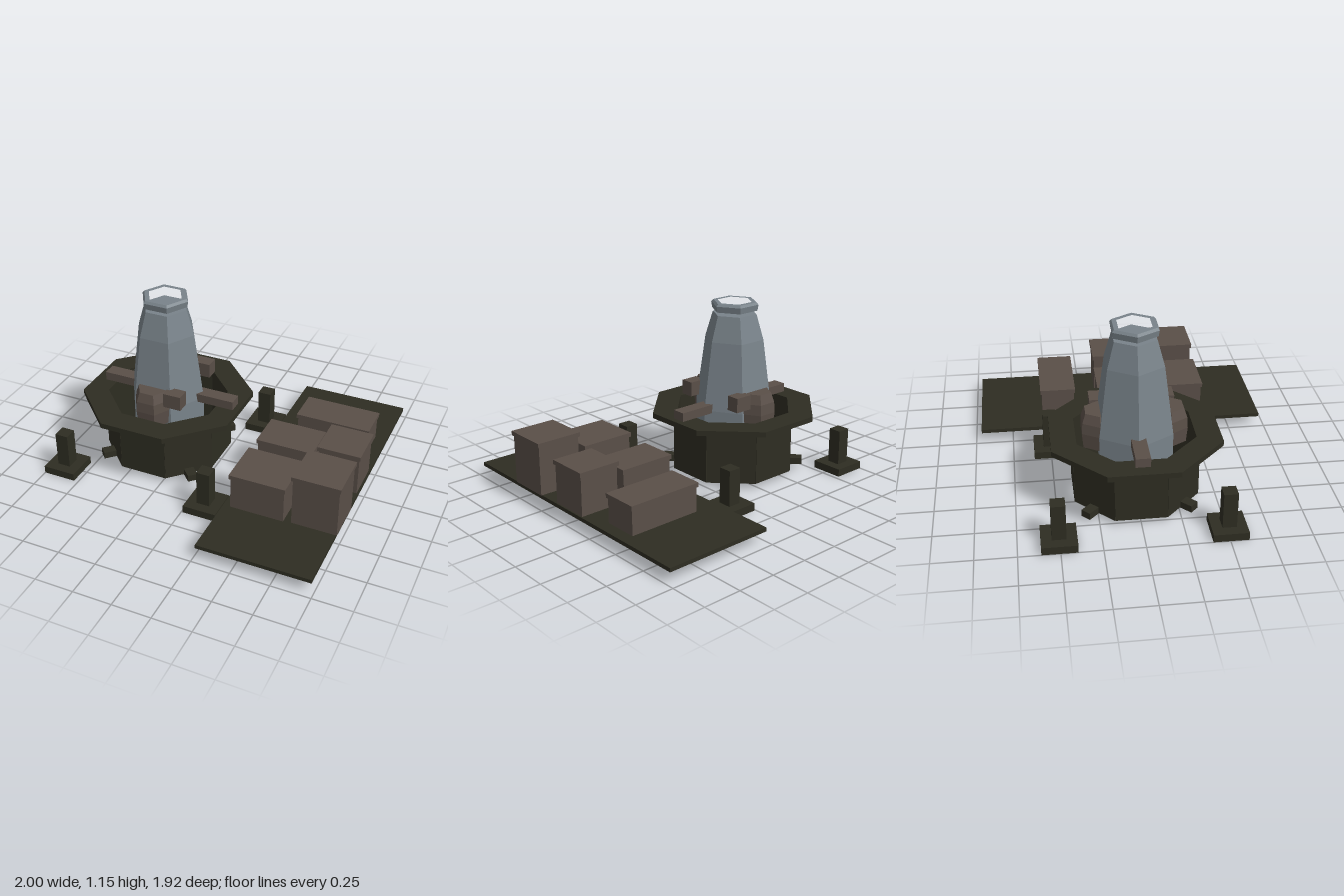
import * as THREE from 'three';

export function createModel() {
  const model = new THREE.Group();
  const CX = -0.385; // centre line of the tower and its drum

  const olive = new THREE.MeshStandardMaterial({ color: 0x2e2d22 });
  olive.name = 'dark olive';
  const brown = new THREE.MeshStandardMaterial({ color: 0x5a4f48 });
  brown.name = 'dusty brown';
  const steel = new THREE.MeshStandardMaterial({ color: 0x79838a });
  steel.name = 'grey steel';

  const add = (name, geometry, material, x = 0, y = 0, z = 0, turn = 0) => {
    const mesh = new THREE.Mesh(geometry, material);
    mesh.name = name;
    mesh.position.set(x, y, z);
    mesh.rotation.y = turn;
    model.add(mesh);
    return mesh;
  };
  // box given by its limits
  const block = (name, material, x0, x1, y0, y1, z0, z1) =>
    add(name, new THREE.BoxGeometry(x1 - x0, y1 - y0, z1 - z0), material,
      (x0 + x1) / 2, (y0 + y1) / 2, (z0 + z1) / 2);
  // faceted six-sided turning with corners on the x axis
  const hexLathe = (profile) => {
    const points = profile.map(([r, y]) => new THREE.Vector2(r, y));
    const geometry = new THREE.LatheGeometry(points, 6, Math.PI / 6).toNonIndexed();
    geometry.computeVertexNormals();
    return geometry;
  };
  const octagon = (apothem, Kind) => {
    const r = apothem / Math.cos(Math.PI / 8);
    const points = [];
    for (let i = 0; i < 8; i++) {
      const a = (i + 0.5) * Math.PI / 4;
      points.push(new THREE.Vector2(r * Math.cos(a), r * Math.sin(a)));
    }
    return new Kind(points);
  };

  // octagonal drum: eight wall panels
  for (let i = 0; i < 8; i++) {
    const a = i * Math.PI / 4;
    add('drumPanel', new THREE.BoxGeometry(0.318, 0.376, 0.02), olive,
      CX + 0.377 * Math.sin(a), 0.223, 0.377 * Math.cos(a), a);
  }

  // flat octagonal collar on the drum
  const collar = octagon(0.52, THREE.Shape);
  collar.holes.push(octagon(0.365, THREE.Path));
  const collarGeometry = new THREE.ExtrudeGeometry(collar, { depth: 0.035, bevelEnabled: false });
  collarGeometry.rotateX(-Math.PI / 2);
  add('collar', collarGeometry, olive, CX, 0.41, 0);

  // square floor plate and crossed beams that stick out of the drum
  const floor = new THREE.CylinderGeometry(0.385, 0.385, 0.015, 4, 1, false, Math.PI / 8).toNonIndexed();
  floor.computeVertexNormals();
  add('floorPlate', floor, olive, CX, 0.033, 0);
  for (const s of [-1, 1]) {
    add('crossBeam', new THREE.BoxGeometry(0.94, 0.045, 0.065), olive, CX, 0.055, 0, s * Math.PI / 4);
  }

  // tapered tower and the cap band hovering above it
  add('tower', hexLathe([[0.26, 0.3], [0.26, 0.46], [0.198, 0.91], [0.148, 1.077], [0, 1.077]]), steel, CX);
  add('towerCap', hexLathe([[0.153, 1.1], [0.16, 1.14], [0.147, 1.155], [0.115, 1.155]]), steel, CX);

  // side arms, domed housings and small boxes around the tower
  block('rightArm', brown, -0.83, -0.6, 0.447, 0.505, -0.045, 0.045);
  block('leftArm', brown, -0.16, 0.1, 0.447, 0.505, -0.045, 0.045);
  for (const s of [-1, 1]) {
    add('housing', hexLathe([[0, 0.36], [0.115, 0.36], [0.125, 0.46], [0.12, 0.53], [0.097, 0.592], [0, 0.592]]),
      brown, CX, 0, s * 0.217);
    add('smallBox', new THREE.BoxGeometry(0.12, 0.097, 0.087), brown, -0.226, 0.55, s * 0.221);
  }

  // four corner feet with posts
  for (const x of [-0.89, 0.12]) {
    for (const z of [-0.505, 0.505]) {
      add('foot', new THREE.BoxGeometry(0.22, 0.05, 0.216), olive, x, 0.025, z);
      add('post', new THREE.BoxGeometry(0.087, 0.235, 0.087), olive, x, 0.1675, z);
    }
  }

  // cargo pallet with lidded crates: x range, z range, top
  block('pallet', olive, 0.26, 0.985, 0.073, 0.098, -0.96, 0.96);
  const crates = [
    [0.415, 0.915, -0.548, -0.308, 0.287],
    [0.293, 0.672, -0.157, 0.105, 0.31],
    [0.705, 0.985, -0.16, 0.117, 0.38],
    [0.298, 0.663, 0.243, 0.56, 0.342],
    [0.693, 1.0, 0.25, 0.55, 0.443],
  ];
  for (const [x0, x1, z0, z1, top] of crates) {
    const g = 0.009;
    block('crate', brown, x0 + g, x1 - g, 0.098, top - 0.028, z0 + g, z1 - g);
    block('crateLid', brown, x0, x1, top - 0.028, top, z0, z1);
  }

  return model;
}
